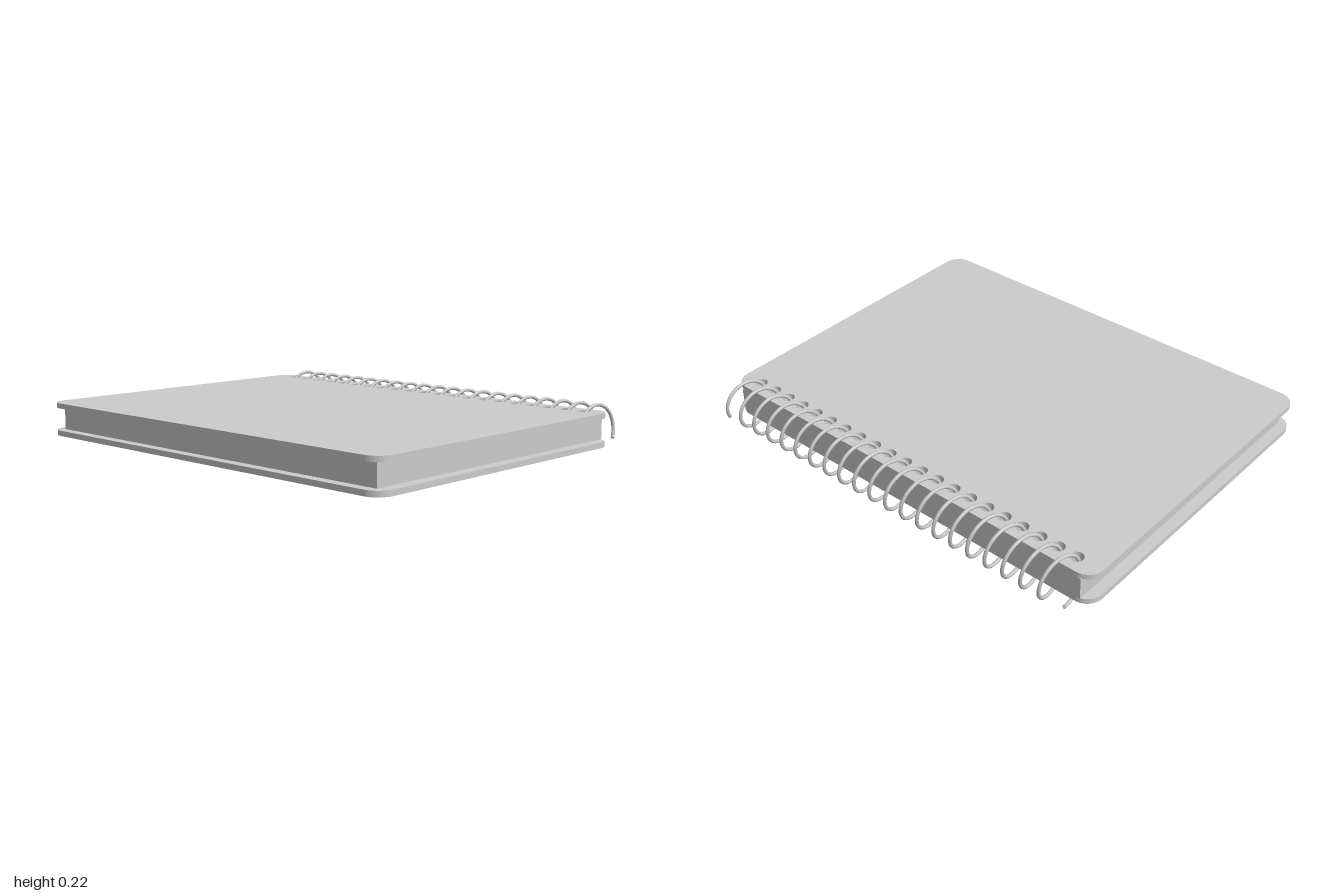
import * as THREE from 'three';

const PITCH = 0.0889, TURNS = 21, FIRST_HOLE = -0.88, BACK = -0.695;
const material = new THREE.MeshStandardMaterial({ color: 0xcccccc });

// Flat sheet in the xz plane with rounded corners and a row of binding holes
function sheet(name, halfWidth, front, radius, y, height) {
  const w = halfWidth, a = -front, b = -BACK, r = radius;
  const shape = new THREE.Shape();
  if (r > 0) {
    shape.moveTo(-w + r, a);
    shape.absarc(w - r, a + r, r, -Math.PI / 2, 0);
    shape.absarc(w - r, b - r, r, 0, Math.PI / 2);
    shape.absarc(-w + r, b - r, r, Math.PI / 2, Math.PI);
    shape.absarc(-w + r, a + r, r, Math.PI, Math.PI * 1.5);
  } else {
    shape.moveTo(-w, a).lineTo(w, a).lineTo(w, b).lineTo(-w, b);
  }
  for (let i = 0; i < TURNS; i++) {
    shape.holes.push(new THREE.Path().absarc(FIRST_HOLE + i * PITCH, 0.627, 0.028, 0, Math.PI * 2, true));
  }
  const geometry = new THREE.ExtrudeGeometry(shape, { depth: height, bevelEnabled: false, curveSegments: 10 });
  geometry.rotateX(-Math.PI / 2);
  const mesh = new THREE.Mesh(geometry, material);
  mesh.name = name;
  mesh.position.y = y;
  return mesh;
}

// Wire helix: angle 0 is the bottom, then front, top and back
class Coil extends THREE.Curve {
  getPoint(t, target = new THREE.Vector3()) {
    const start = -0.35, end = (TURNS - 1) * Math.PI * 2 + Math.PI * 1.5 + 0.55;
    const angle = start + (end - start) * t, R = 0.1;
    return target.set(
      -0.899 + PITCH * angle / (Math.PI * 2),
      0.108 - R * Math.cos(angle),
      BACK + R * Math.sin(angle));
  }
}

export function createModel() {
  const group = new THREE.Group();
  group.name = 'spiralNotebook';

  // Covers and page block
  group.add(sheet('bottomCover', 1, 0.8, 0.075, 0.036, 0.024));
  group.add(sheet('pages', 0.95, 0.756, 0, 0.06, 0.101));
  group.add(sheet('topCover', 1, 0.8, 0.075, 0.161, 0.023));

  // Binding wire
  const wireRadius = 0.008, coil = new Coil();
  coil.arcLengthDivisions = 2000;
  const wire = new THREE.Mesh(new THREE.TubeGeometry(coil, TURNS * 36, wireRadius, 8), material);
  wire.name = 'bindingWire';
  group.add(wire);

  // Wire end caps
  for (const t of [0, 1]) {
    const cap = new THREE.Mesh(new THREE.CircleGeometry(wireRadius, 8), material);
    const point = coil.getPoint(t);
    cap.position.copy(point);
    cap.lookAt(point.add(coil.getTangent(t).multiplyScalar(t ? 1 : -1)));
    cap.name = t ? 'wireEndCap' : 'wireStartCap';
    group.add(cap);
  }
  return group;
}
